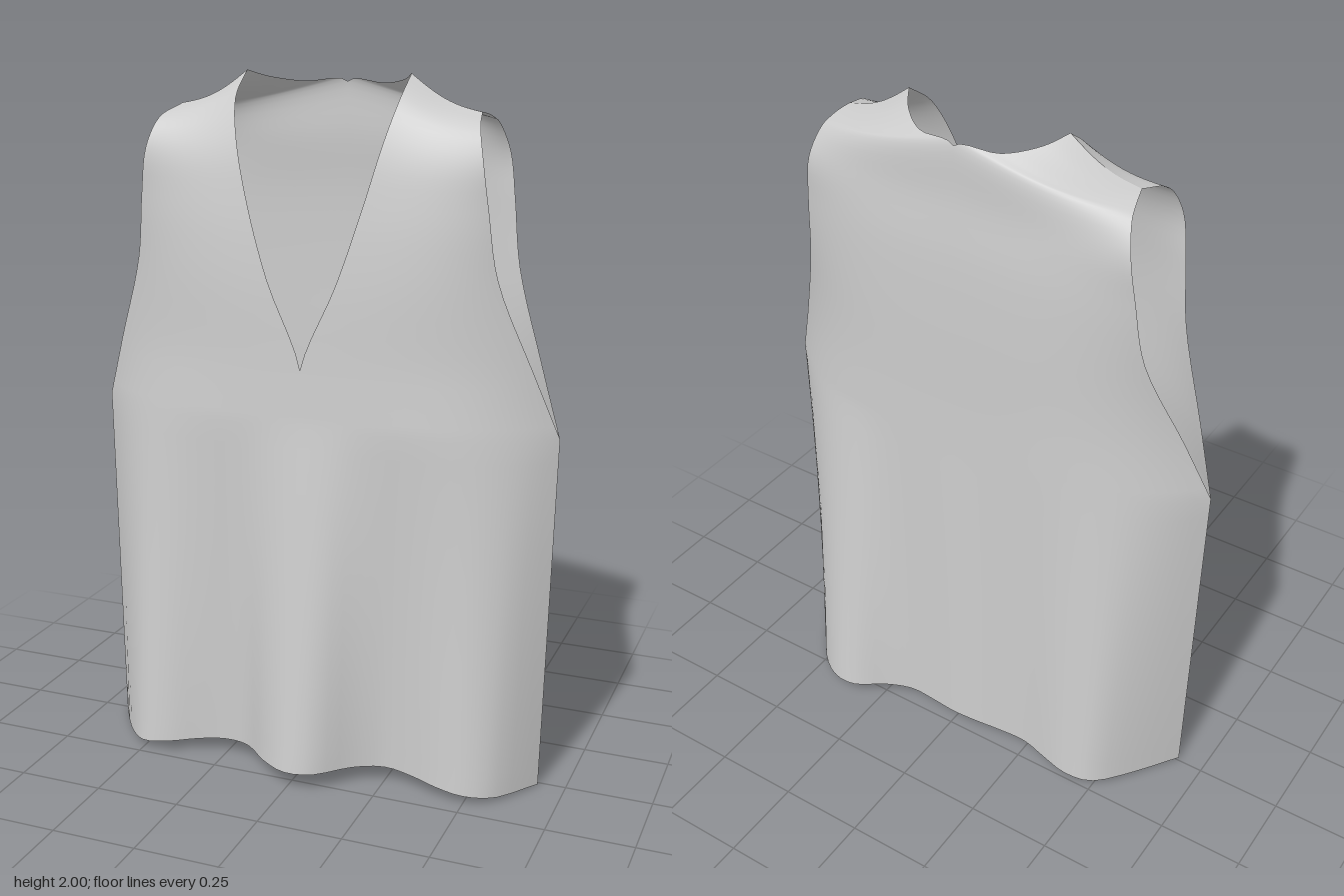
import * as THREE from 'three';
import { mergeVertices } from 'three/addons/utils/BufferGeometryUtils.js';

const COLS = 24;       // columns per half panel
const LOWER_ROWS = 16; // hem to armpit
const STEPS = 5;       // rows between two upper sections

// Depth of the hem folds at even steps from -x to +x
const FRONT_HEM = [0.01, 0.14, 0.225, 0.225, 0.19, 0.17, 0.19, 0.265, 0.31,
  0.29, 0.205, 0.16, 0.17, 0.195, 0.2, 0.15, 0.01];
const BACK_HEM = [0.01, -0.12, -0.225, -0.25, -0.235, -0.215, -0.22, -0.23, -0.235,
  -0.228, -0.225, -0.255, -0.305, -0.3, -0.24, -0.125, 0.01];

// Sections from armpit to shoulder: centre or neck edge, then armhole edge
const FRONT_SECTIONS = [
  [[0, 1.05, 0.188], [0.69, 1.04, 0]],
  [[0, 1.21, 0.178], [0.62, 1.23, 0.045]],
  [[0.1, 1.45, 0.168], [0.53, 1.48, 0.097]],
  [[0.165, 1.65, 0.148], [0.505, 1.66, 0.115]],
  [[0.21, 1.82, 0.115], [0.487, 1.79, 0.117]],
  [[0.235, 1.93, 0.06], [0.465, 1.87, 0.075]],
  [[0.24, 2.0, -0.03], [0.44, 1.905, -0.025]],
];
const BACK_SECTIONS = [
  [[0, 1.05, -0.207], [0.69, 1.04, 0]],
  [[0, 1.22, -0.205], [0.62, 1.23, -0.05]],
  [[0, 1.45, -0.205], [0.53, 1.48, -0.125]],
  [[0, 1.66, -0.2], [0.505, 1.66, -0.147]],
  [[0, 1.82, -0.187], [0.487, 1.79, -0.152]],
  [[0, 1.965, -0.183], [0.465, 1.87, -0.115]],
  [[0.12, 1.965, -0.155], [0.455, 1.89, -0.08]],
  [[0.2, 1.98, -0.09], [0.447, 1.9, -0.05]],
  [[0.24, 2.0, -0.03], [0.44, 1.905, -0.025]],
];

const lerp = THREE.MathUtils.lerp;

function panelGeometry(hem, hemLift, sections, facing) {
  const edge = (k) => new THREE.CatmullRomCurve3(
    sections.map((s) => new THREE.Vector3(...s[k])));
  const inner = edge(0), outer = edge(1);
  const hemCurve = new THREE.SplineCurve(hem.map((z, i) =>
    new THREE.Vector2(lerp(-0.67, 0.67, i / (hem.length - 1)), z)));
  const upperRows = (sections.length - 1) * STEPS;

  // Point of the upper panel: u runs from the centre (0) to the armhole (1)
  const upperPoint = (side, u, t) => {
    const a = inner.getPoint(t), b = outer.getPoint(t);
    const sag = 0.018 * Math.sin(Math.PI * u) * t * t;
    return [side * lerp(Math.max(a.x, 0), b.x, u), lerp(a.y, b.y, u) - sag,
      lerp(a.z, b.z, Math.pow(u, lerp(4, 2, t)))];
  };
  // Point of the lower panel: folds fade out from hem to armpit
  const lowerPoint = (side, u, t) => {
    const h = hemCurve.getPoint((side * u + 1) / 2);
    const p = upperPoint(side, u, 0);
    const y = (1 - u * u) * hemLift;
    return [lerp(h.x, p[0], t), lerp(y, p[1], t), lerp(h.y, p[2], t)];
  };

  const positions = [], index = [];
  const stride = 2 * (COLS + 1);
  const rows = LOWER_ROWS + upperRows;
  for (let r = 0; r <= rows; r++) {
    for (const side of [-1, 1]) {
      for (let c = 0; c <= COLS; c++) {
        const u = side < 0 ? 1 - c / COLS : c / COLS;
        positions.push(...(r < LOWER_ROWS
          ? lowerPoint(side, u, r / LOWER_ROWS)
          : upperPoint(side, u, (r - LOWER_ROWS) / upperRows)));
      }
    }
  }
  // The two halves share no faces across the neck opening
  for (let r = 0; r < rows; r++) {
    for (let c = 0; c < stride - 1; c++) {
      if (c === COLS) continue;
      const a = r * stride + c, b = a + 1, d = a + stride, e = d + 1;
      if (facing > 0) index.push(a, b, e, a, e, d);
      else index.push(a, e, b, a, d, e);
    }
  }
  let geometry = new THREE.BufferGeometry();
  geometry.setAttribute('position', new THREE.Float32BufferAttribute(positions, 3));
  geometry.setIndex(index);
  geometry = mergeVertices(geometry, 1e-4); // weld the centre line
  geometry.computeVertexNormals();
  return geometry;
}

export function createModel() {
  const group = new THREE.Group();
  group.name = 'sleevelessTop';
  const cloth = new THREE.MeshStandardMaterial({ color: 0xcccccc, side: THREE.DoubleSide });
  cloth.name = 'light grey cloth';

  // Front panel with V neck
  const front = new THREE.Mesh(panelGeometry(FRONT_HEM, 0.055, FRONT_SECTIONS, 1), cloth);
  front.name = 'frontPanel';
  // Back panel with shallow neckline
  const back = new THREE.Mesh(panelGeometry(BACK_HEM, 0.035, BACK_SECTIONS, -1), cloth);
  back.name = 'backPanel';

  group.add(front, back);
  return group;
}
